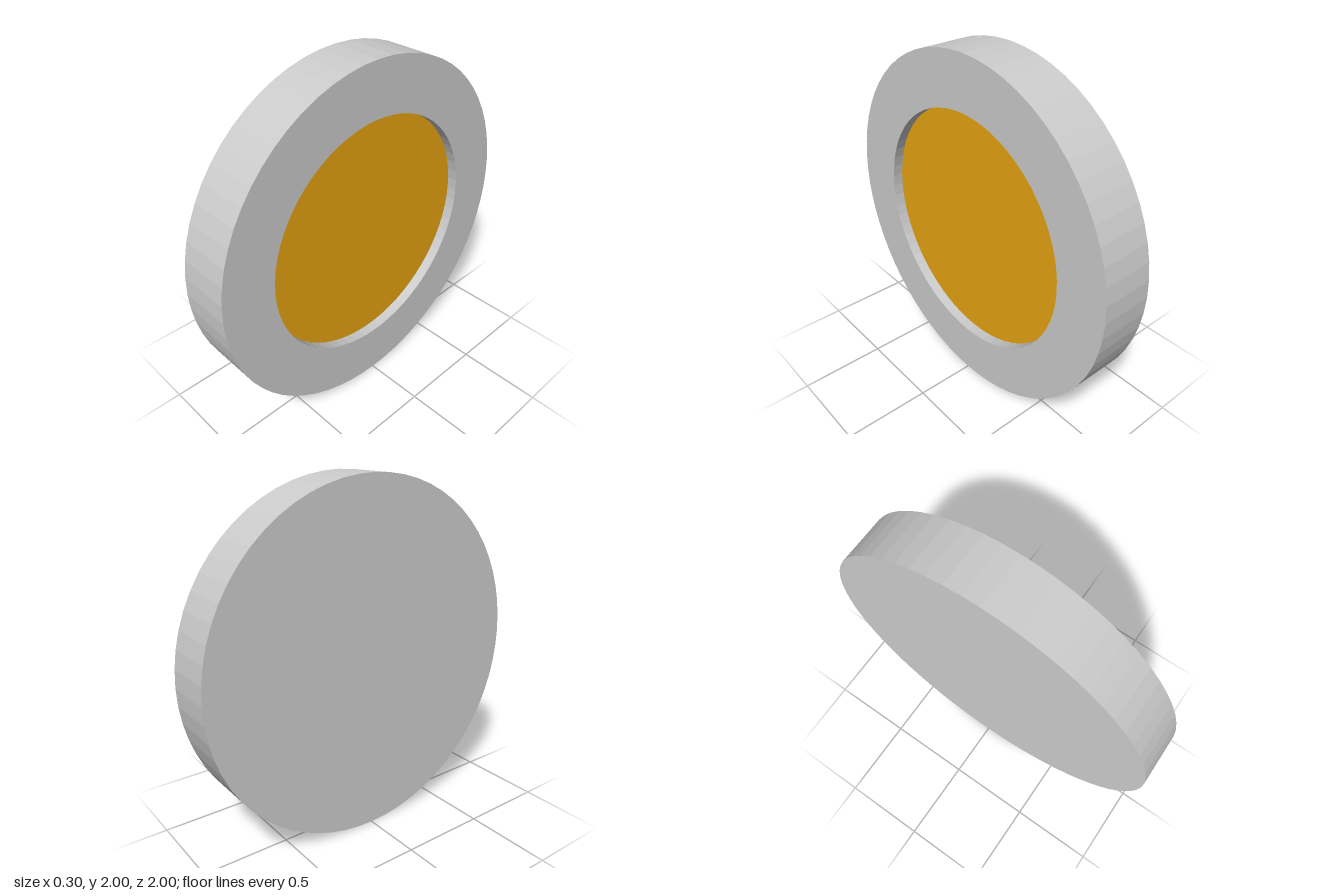
import * as THREE from 'three';

const SIDES = 64;
const HALF = 0.15; // half thickness
const INNER = 0.695; // recess radius
const FLOOR = 0.09; // recess floor along the axis

export function createModel() {
  const model = new THREE.Group();
  model.name = 'recessedDisc';

  // Flat back, outer wall, front ring and recess wall in one turned profile
  const profile = [
    [0, -HALF], [1, -HALF], [1, HALF], [INNER, HALF], [INNER, FLOOR],
  ].map(([r, h]) => new THREE.Vector2(r, h));
  const body = new THREE.Mesh(
    new THREE.LatheGeometry(profile, SIDES).rotateZ(-Math.PI / 2),
    new THREE.MeshStandardMaterial({ color: 0xcccccc, flatShading: true }),
  );
  body.name = 'discBody';

  // Coloured floor of the recess
  const inlay = new THREE.Mesh(
    new THREE.CircleGeometry(INNER, SIDES).rotateY(Math.PI / 2),
    new THREE.MeshStandardMaterial({ color: 0xe6a310 }),
  );
  inlay.name = 'inlay';
  inlay.position.x = FLOOR;

  model.add(body, inlay);
  model.position.y = 1;
  return model;
}
